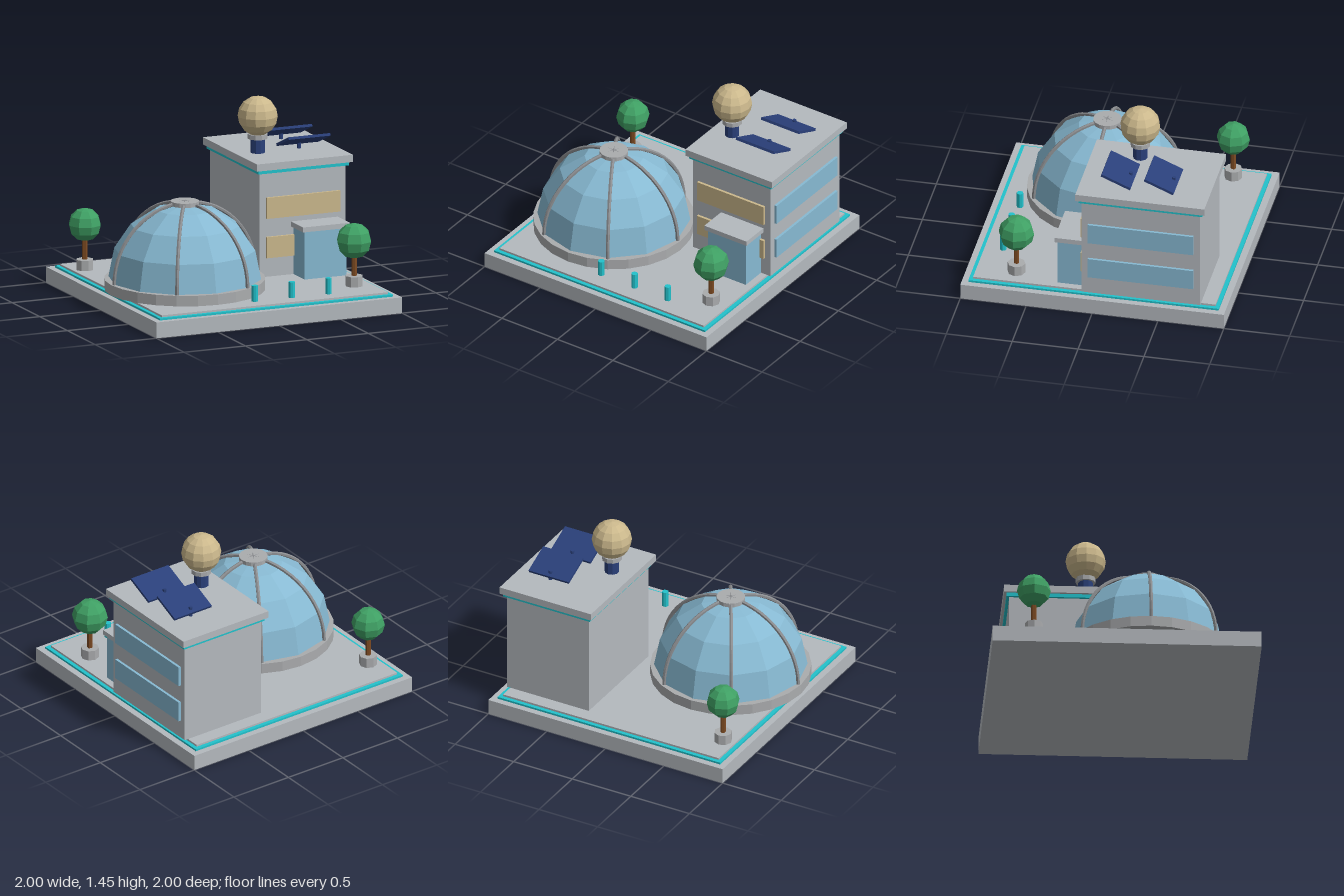
import * as THREE from 'three';

const mat = (name, color) => {
  const m = new THREE.MeshStandardMaterial({ color, flatShading: true });
  m.name = name;
  return m;
};

export function createModel() {
  const model = new THREE.Group();
  model.name = 'domeStation';

  const concrete = mat('concrete grey', 0xb4b9be);
  const stone = mat('stone grey', 0xaaacae);
  const steel = mat('steel grey', 0x8a8c8f);
  const glass = mat('glass blue', 0x87b9d2);
  const cyan = mat('trim cyan', 0x22c2cc);
  const tan = mat('warm tan', 0xcbb88c);
  const navy = mat('panel navy', 0x2a407a);
  const green = mat('leaf green', 0x3fa064);
  const brown = mat('trunk brown', 0x7d4a22);

  const add = (name, geo, material, x, y, z, parent = model) => {
    const mesh = new THREE.Mesh(geo, material);
    mesh.name = name;
    mesh.position.set(x, y, z);
    parent.add(mesh);
    return mesh;
  };
  // Box and cylinder given by their bottom and top heights
  const box = (name, m, x, z, w, d, y0, y1, parent) =>
    add(name, new THREE.BoxGeometry(w, y1 - y0, d), m, x, (y0 + y1) / 2, z, parent);
  const cyl = (name, m, x, z, r, y0, y1, sides, parent) =>
    add(name, new THREE.CylinderGeometry(r, r, y1 - y0, sides), m, x, (y0 + y1) / 2, z, parent);
  const group = (name) => {
    const g = new THREE.Group();
    g.name = name;
    model.add(g);
    return g;
  };

  // Ground plate with a glowing border strip
  box('basePlate', concrete, 0, 0, 2, 2, 0, 0.12);
  box('borderStrip', cyan, 0, 0, 1.9, 1.9, 0.12, 0.135);
  box('courtyard', concrete, 0, 0, 1.84, 1.84, 0.12, 0.15);

  // Glass dome: footing ring, faceted shell, ribs and crown cap
  const dome = group('dome');
  const dx = -0.4, dz = 0.18, dy = 0.23;
  cyl('domeRing', stone, dx, dz, 0.6, 0.15, dy, 24, dome);
  add('domeShell', new THREE.SphereGeometry(0.57, 12, 4, 0, Math.PI * 2, 0, Math.PI / 2),
    glass, dx, dy, dz, dome);
  for (let i = 0; i < 3; i++) {
    const rib = add('domeRib', new THREE.TorusGeometry(0.575, 0.015, 6, 28, Math.PI),
      steel, dx, dy, dz, dome);
    rib.rotation.y = i * Math.PI / 3;
  }
  cyl('domeCap', stone, dx, dz, 0.107, 0.785, 0.817, 16, dome);

  // Main building with trim and overhanging roof
  const building = group('building');
  const bx = 0.6, bz = -0.36;
  box('walls', concrete, bx, bz, 0.7, 0.9, 0.15, 0.965, building);
  box('roofTrim', cyan, bx, bz, 0.74, 0.94, 0.94, 0.968, building);
  box('roof', concrete, bx, bz, 0.78, 0.98, 0.968, 1.023, building);
  for (const y of [0.295, 0.595]) {
    box('frontWindow', tan, bx, 0.095, 0.6, 0.03, y, y + 0.16, building);
    box('sideWindow', glass, 0.955, bz, 0.03, 0.8, y, y + 0.16, building);
  }

  // Glazed entrance with canopy
  box('entrance', glass, 0.695, 0.185, 0.34, 0.21, 0.15, 0.515, building);
  box('canopy', concrete, 0.695, 0.19, 0.38, 0.24, 0.515, 0.553, building);

  // Radome on its mast
  const radome = group('radome');
  cyl('mast', navy, 0.38, -0.235, 0.055, 1.02, 1.14, 10, radome);
  cyl('collar', stone, 0.38, -0.235, 0.075, 1.13, 1.165, 10, radome);
  add('radomeBall', new THREE.SphereGeometry(0.15, 12, 8), tan, 0.38, 1.302, -0.235, radome);

  // Tilted solar panels on short posts
  const solar = group('solarPanels');
  for (const z of [-0.155, -0.483]) {
    cyl('panelPost', navy, 0.716, z - 0.08, 0.015, 1.02, 1.1, 6, solar);
    const panel = add('solarPanel', new THREE.BoxGeometry(0.34, 0.02, 0.24),
      navy, 0.716, 1.105, z, solar);
    panel.rotation.x = -0.4;
  }

  // Potted trees: x, z, crown radius
  for (const [x, z, r] of [[0.78, 0.62, 0.135], [-0.825, -0.685, 0.126]]) {
    const tree = group('tree');
    cyl('planter', stone, x, z, 0.067, 0.15, 0.228, 8, tree);
    cyl('trunk', brown, x, z, 0.02, 0.22, 0.42, 6, tree);
    add('crown', new THREE.SphereGeometry(r, 8, 6), green, x, 0.493, z, tree);
  }

  // Row of light bollards
  for (const x of [-0.1, 0.2, 0.5]) cyl('bollard', cyan, x, 0.78, 0.025, 0.15, 0.27, 8);

  return model;
}
